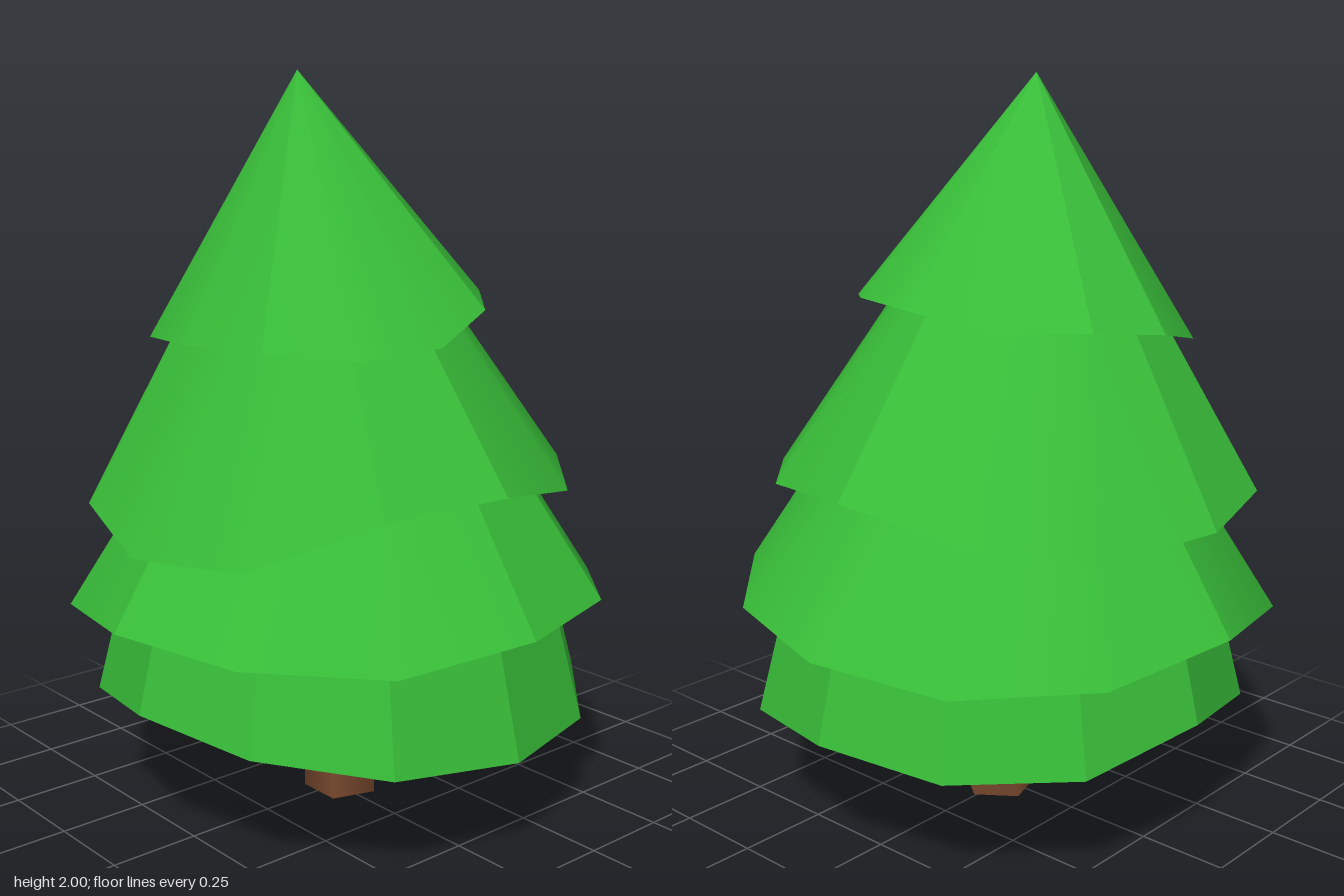
import * as THREE from 'three';
import { toCreasedNormals } from 'three/addons/utils/BufferGeometryUtils.js';

const SIDES = 12;

// One skirt of foliage: a leaning cone with an uneven rim and a hollowed underside.
// rim: heights counter-clockwise from the front; cut: how far it runs towards its apex;
// hollow: how far the middle of the underside is raised.
function tierGeometry({ center: [cx, cz], radius: [rx, rz], apex, cut, hollow, rim }) {
  const tip = new THREE.Vector3(...apex);
  const low = rim.map((y, i) => {
    const a = (i / SIDES) * Math.PI * 2;
    return new THREE.Vector3(cx + rx * Math.sin(a), y, cz + rz * Math.cos(a));
  });
  const high = low.map((p) => p.clone().lerp(tip, cut));
  const middle = new THREE.Vector3(0, hollow, 0);
  low.forEach((p) => middle.addScaledVector(p, 1 / SIDES));

  const points = [];
  for (let i = 0; i < SIDES; i++) {
    const j = (i + 1) % SIDES;
    points.push(low[i], low[j], high[j]);
    if (cut < 1) points.push(low[i], high[j], high[i]);
    points.push(middle, low[j], low[i]);
  }
  const geometry = new THREE.BufferGeometry().setFromPoints(points);
  return toCreasedNormals(geometry, 0.46);
}

// Skirts from bottom to top
const TIERS = [
  {
    name: 'bottomFoliage', center: [0.017, 0.008], radius: [0.683, 0.682], apex: [0, 3, 0], cut: 0.15, hollow: 0.075,
    rim: [0.294, 0.294, 0.322, 0.355, 0.325, 0.325, 0.385, 0.333, 0.343, 0.39, 0.355, 0.312],
  },
  {
    name: 'lowerFoliage', center: [0, 0], radius: [0.728, 0.75], apex: [0, 1.74, 0], cut: 0.5, hollow: 0.38,
    rim: [0.635, 0.64, 0.615, 0.59, 0.565, 0.58, 0.63, 0.595, 0.585, 0.62, 0.605, 0.595],
  },
  {
    name: 'upperFoliage', center: [-0.015, -0.015], radius: [0.647, 0.675], apex: [-0.12, 1.97, 0], cut: 0.6, hollow: 0.36,
    rim: [0.98, 0.93, 0.95, 0.98, 0.918, 0.875, 0.895, 0.917, 0.864, 0.8, 0.82, 0.95],
  },
  {
    name: 'topFoliage', center: [-0.064, -0.005], radius: [0.43, 0.48], apex: [-0.14, 2, 0.012], cut: 1, hollow: 0.26,
    rim: [1.33, 1.4, 1.425, 1.42, 1.38, 1.385, 1.36, 1.315, 1.315, 1.325, 1.325, 1.31],
  },
];

export function createModel() {
  const tree = new THREE.Group();
  tree.name = 'tree';

  const leaves = new THREE.MeshStandardMaterial({ color: 0x38bd38 });
  const bark = new THREE.MeshStandardMaterial({ color: 0x7a4a2e });

  // Five-sided trunk with a corner towards +x, running up into the foliage
  const trunk = new THREE.Mesh(new THREE.CylinderGeometry(0.107, 0.107, 0.45, 5, 1, false, Math.PI / 2), bark);
  trunk.name = 'trunk';
  trunk.position.set(0.018, 0.225, 0.006);
  tree.add(trunk);

  for (const tier of TIERS) {
    const mesh = new THREE.Mesh(tierGeometry(tier), leaves);
    mesh.name = tier.name;
    tree.add(mesh);
  }
  return tree;
}
